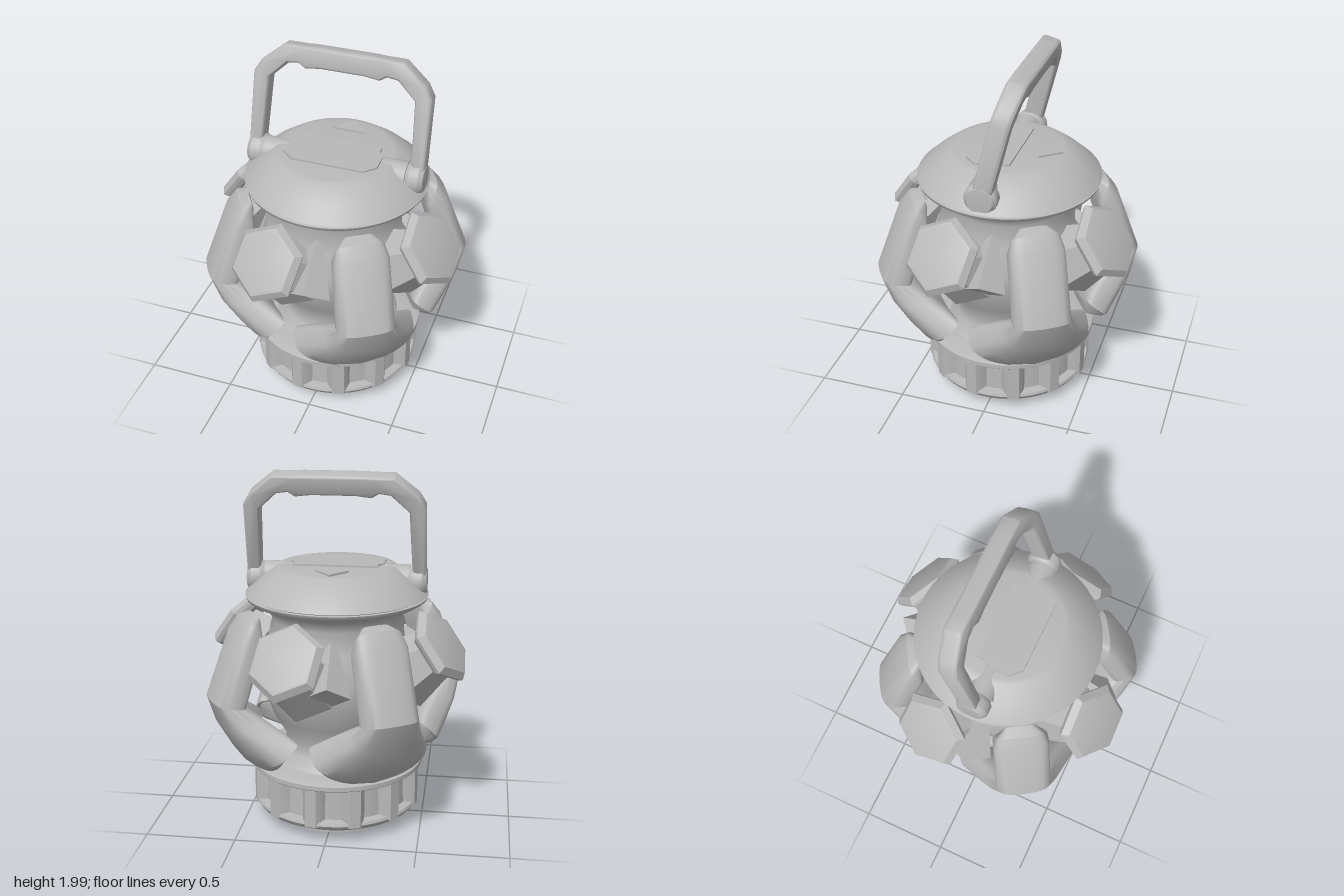
import * as THREE from 'three';
import { toCreasedNormals } from 'three/addons/utils/BufferGeometryUtils.js';

const grey = new THREE.MeshStandardMaterial({ color: 0xb8b8b8 });
grey.name = 'plain grey';

function add(parent, geo, name, crease = 0.6) {
  const mesh = new THREE.Mesh(toCreasedNormals(geo, crease), grey);
  mesh.name = name;
  parent.add(mesh);
  return mesh;
}

const lathe = (pts, seg = 64) =>
  new THREE.LatheGeometry(pts.map(([x, y]) => new THREE.Vector2(x, y)), seg);

function shapeOf(pts) {
  return new THREE.Shape(pts.map(([x, y]) => new THREE.Vector2(x, y)));
}

const power = (v, p) => Math.sign(v) * Math.abs(v) ** p;

// Curved guard: sections of [radius, height, half width, wrap, thickness] from top to foot
function guardGeometry() {
  const rows = [
    [0.49, 1.25, 0.08, 0.00, 0.05], [0.55, 1.235, 0.13, 0.01, 0.11],
    [0.61, 1.16, 0.15, 0.015, 0.14], [0.75, 0.785, 0.155, 0.015, 0.16],
    [0.70, 0.63, 0.21, 0.03, 0.19], [0.625, 0.50, 0.29, 0.07, 0.21],
    [0.56, 0.41, 0.34, 0.09, 0.21], [0.50, 0.37, 0.31, 0.08, 0.16],
    [0.43, 0.36, 0.18, 0.03, 0.08],
  ];
  const n = 32, pos = [], idx = [];
  rows.forEach(([r, y, w, wrap, t], j) => {
    const a = rows[Math.max(j - 1, 0)], b = rows[Math.min(j + 1, rows.length - 1)];
    const dir = new THREE.Vector2(b[0] - a[0], b[1] - a[1]).normalize();
    for (let i = 0; i < n; i++) {
      const th = (i / n) * Math.PI * 2;
      const c = power(Math.cos(th), 0.5), s = power(Math.sin(th), 0.5);
      const d = (s - 1) * t / 2 - wrap * c * c;
      pos.push(w * c, y + dir.x * d, r - dir.y * d);
    }
  });
  for (let j = 0; j < rows.length - 1; j++) {
    for (let i = 0; i < n; i++) {
      const k = (i + 1) % n, a = j * n + i, b = j * n + k;
      idx.push(a, b, a + n, b, b + n, a + n);
    }
  }
  const last = (rows.length - 1) * n;
  for (let i = 1; i < n - 1; i++) {
    idx.push(0, i + 1, i, last, last + i, last + i + 1);
  }
  const g = new THREE.BufferGeometry();
  g.setAttribute('position', new THREE.Float32BufferAttribute(pos, 3));
  g.setIndex(idx);
  return g;
}

export function createModel() {
  const model = new THREE.Group();
  model.name = 'lantern';

  // Base: foot disc, drum and flat rim
  add(model, lathe([[0, 0.01], [0.33, 0.01], [0.365, 0.025], [0.365, 0.045], [0.4, 0.055], [0.455, 0.085],
    [0.47, 0.11], [0.465, 0.125], [0.42, 0.13], [0.415, 0.33]]), 'baseDrum');
  add(model, lathe([[0.3, 0.325], [0.485, 0.325], [0.49, 0.33], [0.49, 0.355], [0.48, 0.36], [0.3, 0.365]]), 'baseRim');

  // Ribs around the drum, wider at the root
  const ribShape = shapeOf([[-0.07, 0.4], [0.07, 0.4], [0.05, 0.45], [0.03, 0.475], [-0.03, 0.475], [-0.05, 0.45]]);
  for (let i = 0; i < 12; i++) {
    const geo = new THREE.ExtrudeGeometry(ribShape, { depth: 0.23, bevelEnabled: false });
    geo.rotateX(Math.PI / 2).translate(0, 0.33, 0);
    const rib = add(model, geo, 'baseRib');
    rib.rotation.y = THREE.MathUtils.degToRad(-10 + i * 30);
  }

  // Inner vessel and neck
  add(model, lathe([[0.36, 0.36], [0.30, 0.42], [0.29, 0.5], [0.36, 0.62], [0.42, 0.78], [0.43, 0.9],
    [0.39, 1.05], [0.36, 1.18], [0.39, 1.24], [0.45, 1.28]]), 'innerVessel', 0.9);

  // Four guards, studs and petals
  const guardGeo = guardGeometry();
  for (let k = 0; k < 4; k++) {
    const turn = k * Math.PI / 2;
    add(model, guardGeo, 'guard', 0.55).rotation.y = turn + THREE.MathUtils.degToRad(32);

    const studMount = new THREE.Group();
    studMount.name = 'studMount';
    studMount.rotation.y = turn - THREE.MathUtils.degToRad(17.5);
    model.add(studMount);
    const stud = new THREE.Group();
    stud.name = 'stud';
    stud.position.set(0, 1.1, 0.64);
    stud.rotation.x = THREE.MathUtils.degToRad(54);
    studMount.add(stud);
    add(stud, lathe([[0, -0.07], [0.19, -0.07], [0.21, -0.05], [0.22, -0.03], [0.19, 0.005], [0.17, 0.01], [0, 0.02]], 6),
      'hexStud', 0.3);
    const stem = add(stud, new THREE.CylinderGeometry(0.13, 0.21, 0.28, 6), 'studStem', 0.3);
    stem.position.set(0, -0.19, 0.02);

    // Petal flaring outward and down beside the stud
    const petalMount = new THREE.Group();
    petalMount.name = 'petalMount';
    petalMount.rotation.y = turn + THREE.MathUtils.degToRad(3);
    model.add(petalMount);
    const petal = add(petalMount, new THREE.CylinderGeometry(0.03, 0.12, 0.3, 4), 'petal', 0.3);
    petal.position.set(0, 1.0, 0.46);
    petal.rotation.x = -THREE.MathUtils.degToRad(42);
  }

  // Lid with lip
  add(model, lathe([[0.38, 1.265], [0.47, 1.275], [0.5, 1.295], [0.505, 1.31], [0.49, 1.313], [0.505, 1.32],
    [0.498, 1.33], [0.42, 1.4], [0.33, 1.465], [0.3, 1.47], [0, 1.472]]), 'lid', 0.7);

  // Top plate with cut corners and a pointer behind it
  const plate = shapeOf([[-0.2, -0.18], [0.2, -0.18], [0.26, -0.12], [0.26, -0.01], [0.23, 0.02], [0.23, 0.07],
    [-0.23, 0.07], [-0.23, 0.02], [-0.26, -0.01], [-0.26, -0.12]]);
  const pointer = shapeOf([[-0.09, 0.19], [0.09, 0.19], [0, 0.3]]);
  for (const [shape, name] of [[plate, 'topPlate'], [pointer, 'pointer']]) {
    const geo = new THREE.ExtrudeGeometry(shape, { depth: 0.016, bevelEnabled: false });
    geo.rotateX(-Math.PI / 2).translate(0, 1.465, 0);
    add(model, geo, name);
  }

  // Axle and rounded hubs
  const axle = add(model, new THREE.CylinderGeometry(0.08, 0.08, 0.8, 24), 'axle');
  axle.rotation.z = Math.PI / 2;
  axle.position.set(0, 1.395, 0.02);
  for (const side of [-1, 1]) {
    const hub = add(model, lathe([[0, -0.06], [0.07, -0.06], [0.09, -0.03], [0.09, 0.02], [0.07, 0.045], [0, 0.05]], 24), 'hub');
    hub.rotation.z = -side * Math.PI / 2;
    hub.position.set(side * 0.45, 1.39, 0.01);
  }

  // Leaning carry handle with a shaped grip
  const outer = [[0.48, 0], [0.475, 0.44], [0.44, 0.5], [0.32, 0.6], [0.22, 0.6], [0.16, 0.603]];
  const inner = [[0.12, 0.52], [0.2, 0.51], [0.24, 0.535], [0.31, 0.525], [0.415, 0.425], [0.435, 0]];
  const flip = (pts) => pts.map(([x, y]) => [-x, y]).reverse();
  const handleShape = shapeOf([...outer, ...flip(outer), ...flip(inner), ...inner]);
  const handleGeo = new THREE.ExtrudeGeometry(handleShape, {
    depth: 0.06, bevelThickness: 0.023, bevelSize: 0.014, bevelSegments: 3,
  });
  handleGeo.translate(0, 0, -0.03);
  const handle = add(model, handleGeo, 'handle', 0.7);
  handle.position.set(0, 1.39, 0.01);
  handle.rotation.x = -THREE.MathUtils.degToRad(14);

  return model;
}
